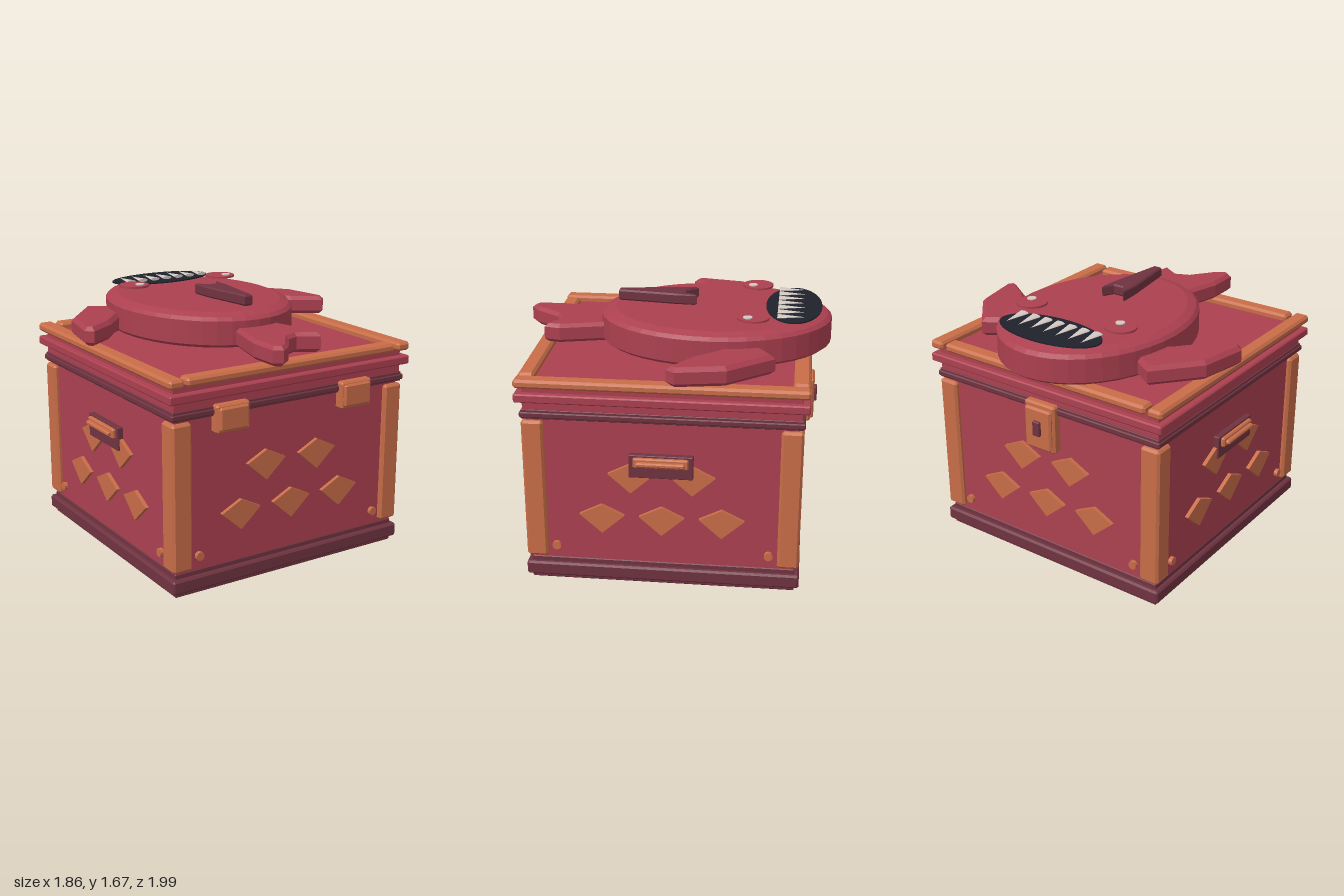
import * as THREE from 'three';
import { ConvexGeometry } from 'three/addons/geometries/ConvexGeometry.js';

const mat = (name, color) => {
  const m = new THREE.MeshStandardMaterial({ color });
  m.name = name;
  return m;
};

export function createModel() {
  const red = mat('red', 0xac4050), orange = mat('orange', 0xc86d48), maroon = mat('maroon', 0x6f3340);
  const black = mat('black', 0x1f212b), bone = mat('bone', 0xd2c8c2);
  const root = new THREE.Group();
  root.name = 'fishChest';

  const add = (name, geo, material, parent = root) => {
    const mesh = new THREE.Mesh(geo, material);
    mesh.name = name;
    parent.add(mesh);
    return mesh;
  };
  const flat = (geo) => {
    const g = geo.index ? geo.toNonIndexed() : geo;
    g.computeVertexNormals();
    return g;
  };
  // Box given by its limits, with every edge chamfered by c
  const block = (name, [x0, x1], [y0, y1], [z0, z1], c, material, parent) => {
    const h = [(x1 - x0) / 2, (y1 - y0) / 2, (z1 - z0) / 2], pts = [];
    for (const sx of [-1, 1]) for (const sy of [-1, 1]) for (const sz of [-1, 1])
      for (let k = 0; k < 3; k++) {
        const p = h.map((v, i) => (i === k ? v : v - c));
        pts.push(new THREE.Vector3(sx * p[0], sy * p[1], sz * p[2]));
      }
    const geo = new ConvexGeometry(pts).translate((x0 + x1) / 2, (y0 + y1) / 2, (z0 + z1) / 2);
    return add(name, geo, material, parent);
  };
  const slab = (name, half, y, c, material) => block(name, [-half, half], y, [-half, half], c, material);
  // Outline in (x, z) raised from y0 to y1 with bevelled rims
  const plate = (name, outline, y0, y1, bevel, material) => {
    const shape = new THREE.Shape(outline.map(([x, z]) => new THREE.Vector2(x, -z)));
    const geo = new THREE.ExtrudeGeometry(shape, {
      depth: y1 - y0 - 2 * bevel, bevelEnabled: true, bevelThickness: bevel,
      bevelSize: bevel, bevelOffset: -bevel, bevelSegments: 1,
    });
    return add(name, geo.rotateX(-Math.PI / 2).translate(0, y0 + bevel, 0), material);
  };

  // Chest body, plinth and lid
  slab('plinth', 0.83, [0, 0.15], 0.005, maroon);
  slab('plinthRail', 0.86, [0.03, 0.12], 0.012, maroon);
  slab('chestBody', 0.825, [0.14, 1.12], 0.002, red);
  slab('seam', 0.85, [1.105, 1.165], 0.004, maroon);
  slab('seamRail', 0.86, [1.115, 1.15], 0.006, maroon);
  slab('lid', 0.842, [1.16, 1.325], 0.004, red);
  slab('lidRail', 0.885, [1.22, 1.275], 0.008, red);

  // Corner posts and lid frame
  for (const s of [-1, 1]) {
    const span = (a, b) => (s > 0 ? [a, b] : [-b, -a]);
    for (const t of [-1, 1]) {
      const zs = t > 0 ? [0.72, 0.855] : [-0.855, -0.72];
      block('cornerPost', span(0.72, 0.855), [0.165, 1.09], zs, 0.015, orange);
    }
    block('lidSideTrim', span(0.785, 0.885), [1.31, 1.365], [-0.885, 0.885], 0.015, orange);
    block('lidCrossTrim', [-0.765, 0.765], [1.31, 1.365], span(0.78, 0.88), 0.015, orange);

    // Carrying handles on both sides
    block('handlePlate', span(0.82, 0.862), [0.75, 0.9], [-0.197, 0.197], 0.004, maroon);
    block('handleMount', span(0.85, 0.885), [0.825, 0.888], [-0.17, 0.17], 0.008, orange);
    block('handleGrip', span(0.875, 0.91), [0.842, 0.87], [-0.15, 0.15], 0.008, orange);

    // Front hinges
    block('hinge', span(0.34, 0.575), [1.0, 1.175], [0.82, 0.89], 0.012, orange);
    block('hingeCap', span(0.355, 0.56), [1.015, 1.16], [0.87, 0.905], 0.012, orange);
  }

  // Rear latch with keyhole
  block('latch', [-0.115, 0.115], [0.85, 1.17], [-0.89, -0.82], 0.012, orange);
  block('latchCap', [-0.1, 0.1], [0.865, 1.14], [-0.91, -0.87], 0.012, orange);
  block('keyhole', [-0.028, 0.028], [0.96, 1.06], [-0.928, -0.9], 0.006, maroon);

  // Scale ornaments and studs on all four walls
  const kite = new THREE.Shape([[0, 0.07], [-0.14, 0], [0, -0.125], [0.14, 0]].map((p) => new THREE.Vector2(...p)));
  const kiteGeo = new THREE.ExtrudeGeometry(kite, { depth: 0.03, bevelEnabled: false });
  const studGeo = flat(new THREE.CylinderGeometry(0.028, 0.028, 0.03, 10).rotateX(Math.PI / 2));
  for (let i = 0; i < 4; i++) {
    const wall = new THREE.Group();
    wall.name = 'wallOrnaments';
    wall.rotation.y = i * Math.PI / 2;
    for (const [x, y] of [[-0.19, 0.76], [0.19, 0.76], [-0.372, 0.475], [0, 0.475], [0.372, 0.475]])
      add('scaleOrnament', kiteGeo, orange, wall).position.set(x, y, 0.82);
    for (const x of [-0.665, 0.665]) add('stud', studGeo, orange, wall).position.set(x, 0.24, 0.835);
    root.add(wall);
  }

  // Fish body
  const profile = [[0, 1.37], [0.55, 1.37], [0.57, 1.39], [0.57, 1.54], [0.55, 1.562], [0.5, 1.582], [0, 1.582]];
  const body = new THREE.LatheGeometry(profile.map((p) => new THREE.Vector2(...p)), 40);
  add('fishBody', flat(body.scale(1, 1, 0.74 / 0.57).translate(0, 0, -0.26)), red);

  // Side fins
  const fin = [[0.636, -0.665], [0.5, -0.575], [0.4, -0.4], [0.5, -0.36], [0.57, -0.31],
    [0.7, -0.16], [0.885, -0.035], [0.928, -0.085], [0.87, -0.39]];
  for (const s of [-1, 1]) plate('sideFin', fin.map(([x, z]) => [s * x, z]), 1.372, 1.495, 0.025, red);

  // Tail
  plate('tail', [[-0.15, 0.3], [-0.155, 0.45], [-0.233, 0.75], [-0.233, 0.95], [-0.178, 0.99], [-0.11, 0.94],
    [0.005, 0.785], [0.085, 0.752], [0.215, 0.827], [0.235, 0.725], [0.165, 0.45], [0.15, 0.3]], 1.372, 1.495, 0.022, red);

  // Dorsal fin
  plate('dorsalFin', [[-0.092, -0.137], [-0.035, -0.07], [0.03, -0.07], [0.072, -0.14], [0.07, 0.0],
    [0.02, 0.372], [-0.037, 0.372], [-0.09, 0.0]], 1.605, 1.675, 0.01, maroon);

  // Mouth and teeth
  const mouth = new THREE.CylinderGeometry(0.365, 0.365, 0.008, 40).scale(1, 1, 0.178 / 0.365);
  add('mouth', mouth, black).position.set(0, 1.604, -0.758);
  const toothGeo = flat(new THREE.ConeGeometry(0.035, 0.17, 8).rotateX(-Math.PI / 2).scale(1, 0.32, 1));
  for (let i = -3; i <= 3; i++) add('tooth', toothGeo, bone).position.set(i * 0.094, 1.62, -0.743);

  // Eyes
  for (const x of [-0.342, 0.342]) {
    add('eye', new THREE.CylinderGeometry(0.1, 0.1, 0.012, 28), red).position.set(x, 1.626, -0.512);
    add('pupil', new THREE.CylinderGeometry(0.03, 0.03, 0.009, 12), bone).position.set(x + 0.028, 1.634, -0.48);
  }
  return root;
}
